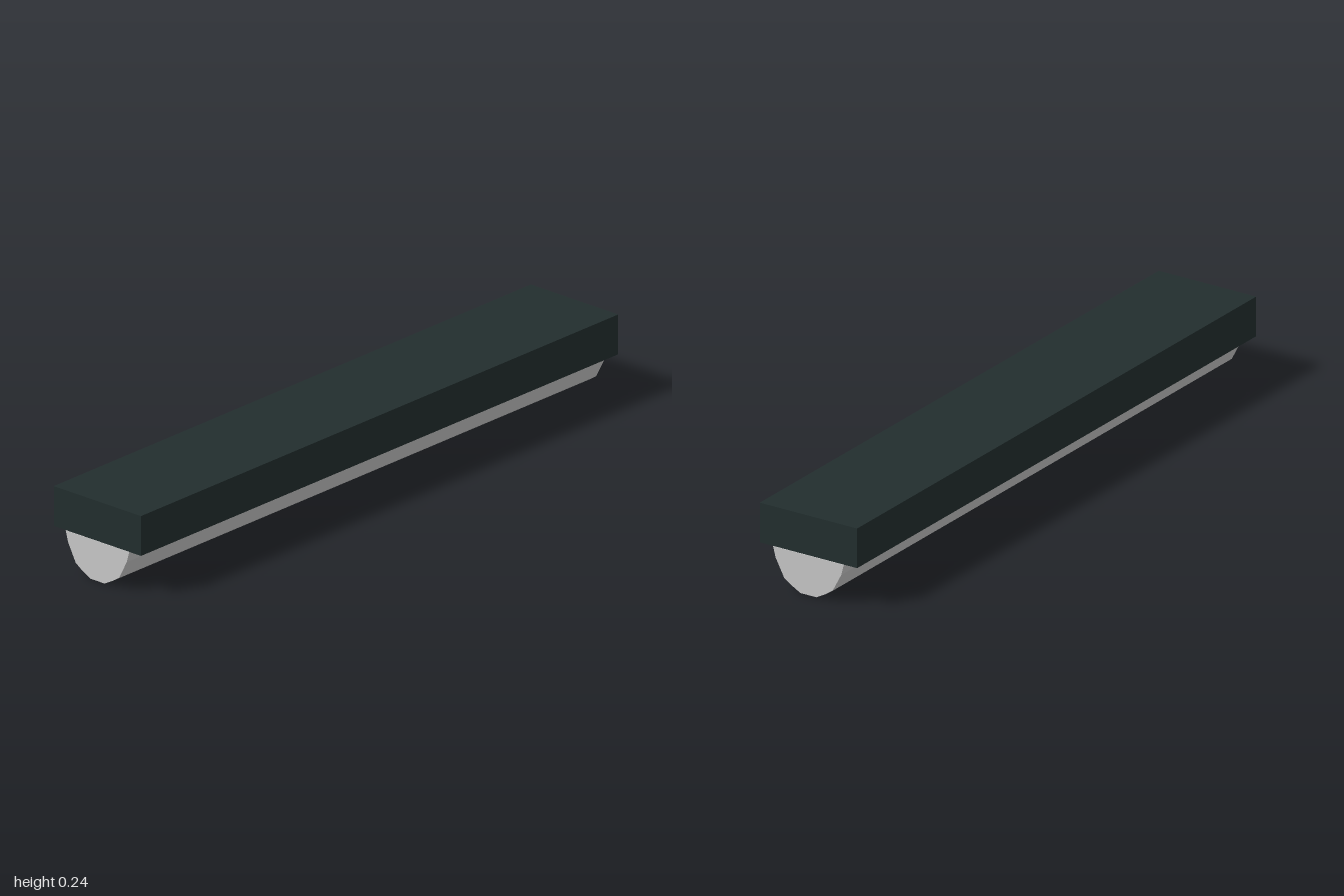
import * as THREE from 'three';

export function createModel() {
  const group = new THREE.Group();
  const darkHousing = new THREE.MeshStandardMaterial({ color: 0x222e2e });
  darkHousing.name = 'darkHousing';
  const paleDiffuser = new THREE.MeshStandardMaterial({ color: 0xc9c9c9, flatShading: true });
  paleDiffuser.name = 'paleDiffuser';

  const length = 2, seam = 0.122, top = 0.243;

  // Rectangular housing along the top
  const housing = new THREE.Mesh(new THREE.BoxGeometry(length, top - seam, 0.33), darkHousing);
  housing.name = 'housing';
  housing.position.y = (top + seam) / 2;
  group.add(housing);

  // Faceted half-round diffuser: half profile mirrored, extruded along the length
  const half = [[0.12, seam - 0.001], [0.111, 0.088], [0.082, 0.033], [0.06, 0.018], [0.027, 0]];
  const mirrored = half.map(([x, y]) => [-x, y]).reverse();
  const profile = new THREE.Shape([...half, ...mirrored].map(([x, y]) => new THREE.Vector2(x, y)));
  const geometry = new THREE.ExtrudeGeometry(profile, { depth: length, bevelEnabled: false });
  geometry.translate(0, 0, -length / 2);
  geometry.rotateY(Math.PI / 2);
  const diffuser = new THREE.Mesh(geometry, paleDiffuser);
  diffuser.name = 'diffuser';
  group.add(diffuser);

  return group;
}
